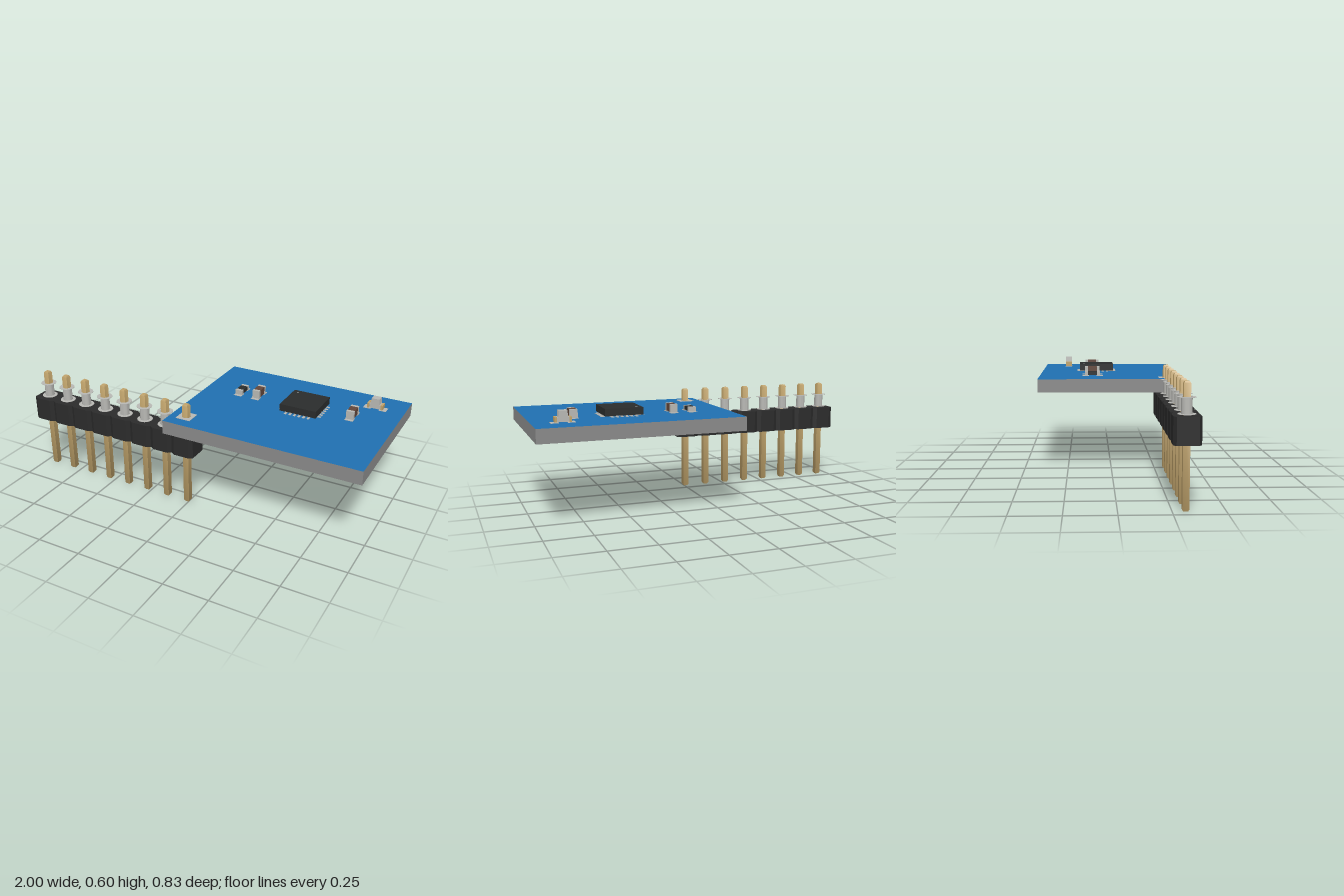
import * as THREE from 'three';
import { toCreasedNormals } from 'three/addons/utils/BufferGeometryUtils.js';

const mat = (name, color) => {
  const m = new THREE.MeshStandardMaterial({ color });
  m.name = name;
  return m;
};

export function createModel() {
  const root = new THREE.Group();
  const blue = mat('solder mask blue', 0x2070b0);
  const grey = mat('board edge grey', 0x8a8a8a);
  const black = mat('header plastic black', 0x2b2b2b);
  const chipBlack = mat('chip black', 0x2a2c2c);
  const gold = mat('pin gold', 0xc0a36b);
  const silver = mat('tin silver', 0xb8b8b4);
  const brown = mat('ceramic brown', 0x62463a);

  const add = (name, geo, material, x = 0, y = 0, z = 0, parent = root) => {
    const m = new THREE.Mesh(geo, material);
    m.name = name;
    m.position.set(x, y, z);
    parent.add(m);
    return m;
  };
  const box = (name, material, w, h, d, x, y, z, parent) =>
    add(name, new THREE.BoxGeometry(w, h, d), material, x, y + h / 2, z, parent);
  const group = (name, x, y, z) => {
    const g = new THREE.Group();
    g.name = name;
    g.position.set(x, y, z);
    root.add(g);
    return g;
  };
  const v2 = (pts) => pts.map(([a, b]) => new THREE.Vector2(a, b));
  const crisp = (geo) => toCreasedNormals(geo, 0.6);
  // Flat outline in plan (x, -z), raised upwards from y = 0
  const slab = (pts, h, hole) => {
    const s = new THREE.Shape(v2(pts));
    if (hole) {
      const p = new THREE.Path();
      p.absarc(hole[0], hole[1], hole[2], 0, Math.PI * 2, true);
      s.holes.push(p);
    }
    return new THREE.ExtrudeGeometry(s, { depth: h, bevelEnabled: false, curveSegments: 16 })
      .rotateX(-Math.PI / 2);
  };

  const bottom = 0.452, top = 0.527;
  const pitch = 0.1322, pinZ = 0.312, firstX = -0.935;
  const lastX = firstX + 7 * pitch;

  // Circuit board: blue faces, grey edges, one drilled hole
  add('circuitBoard', slab([[-0.096, -0.415], [1, -0.415], [1, 0.415], [-0.096, 0.415]],
    top - bottom, [lastX, -pinZ, 0.026]), [blue, grey], 0, bottom, 0);

  // Pin header
  const hx = pitch / 2, hz = 0.0655, cx = 0.022, cz = 0.014;
  const housing = slab([[-hx + cx, -hz], [hx - cx, -hz], [hx, -hz + cz], [hx, hz - cz],
    [hx - cx, hz], [-hx + cx, hz], [-hx, hz - cz], [-hx, -hz + cz]], 0.131);
  const q = Math.SQRT2;
  const pinGeo = crisp(new THREE.LatheGeometry(v2([[0, 0], [0.011 * q, 0], [0.0165 * q, 0.009],
    [0.0165 * q, 0.591], [0.011 * q, 0.6], [0, 0.6]]), 4).rotateY(Math.PI / 4));
  // Plated hole with a thin ring at each end
  const barrelGeo = crisp(new THREE.LatheGeometry(v2([[0.0238, 0.45], [0.043, 0.45], [0.043, 0.452],
    [0.026, 0.452], [0.026, 0.527], [0.043, 0.527], [0.043, 0.529], [0.0238, 0.529],
    [0.0238, 0.45]]), 24));
  const tubeGeo = crisp(new THREE.LatheGeometry(v2([[0.0238, 0.45], [0.026, 0.45], [0.026, 0.529],
    [0.0238, 0.529], [0.0238, 0.45]]), 24));
  for (let i = 0; i < 8; i++) {
    const g = group('headerPosition' + (i + 1), firstX + i * pitch, 0, pinZ);
    add('housing', housing, black, 0, 0.315, 0, g);
    add('pin', pinGeo, gold, 0, 0, 0, g);
    add('platedHole', i < 7 ? barrelGeo : tubeGeo, silver, 0, 0, 0, g);
  }
  const padGeo = slab([[-0.042, -0.042], [0.042, -0.042], [0.042, 0.042], [-0.042, 0.042]],
    0.002, [0, 0, 0.025]);
  add('squarePadTop', padGeo, silver, lastX, top, pinZ);
  add('squarePadBottom', padGeo, silver, lastX, 0.45, pinZ);

  // Chip with six contacts and pads on each side
  const chip = group('chip', 0.503, top, -0.08);
  box('chipBody', chipBlack, 0.206, 0.039, 0.206, 0, 0.006, 0, chip);
  box('pinOneMark', silver, 0.013, 0.001, 0.004, -0.073, 0.045, -0.078, chip);
  for (let side = 0; side < 4; side++) {
    const row = new THREE.Group();
    row.name = 'contactRow';
    row.rotation.y = side * Math.PI / 2;
    chip.add(row);
    for (let i = 0; i < 6; i++) {
      const x = (i - 2.5) * 0.0262;
      box('solderPad', silver, 0.013, 0.002, 0.045, x, 0, 0.097, row);
      box('contact', silver, 0.012, 0.005, 0.022, x, 0.002, 0.0925, row);
    }
  }

  // Two-terminal parts, laid out along z
  const passive = (name, x, height, material) => {
    const g = group(name, x, top, -0.106);
    box('body', material, 0.04, height, 0.052, 0, 0.005, 0, g);
    for (const s of [-1, 1]) {
      box('solderPad', silver, 0.046, 0.002, 0.038, 0, 0, s * 0.041, g);
      box('terminal', silver, 0.042, height + 0.004, 0.017, 0, 0.002, s * 0.0345, g);
    }
  };
  passive('resistor', 0.112, 0.022, chipBlack);
  passive('capacitorLeft', 0.217, 0.041, brown);
  passive('capacitorRight', 0.763, 0.041, brown);

  // Indicator lamp, laid out along x, with a tapered lens
  const lamp = group('indicatorLamp', 0.842, top, -0.262);
  box('lampBase', silver, 0.062, 0.025, 0.038, 0, 0.005, 0, lamp);
  const lens = new THREE.BoxGeometry(0.05, 0.033, 0.04);
  const p = lens.attributes.position;
  for (let i = 0; i < p.count; i++) if (p.getY(i) > 0) p.setX(i, p.getX(i) * 0.86);
  lens.computeVertexNormals();
  add('lampLens', lens, silver, 0, 0.0465, 0, lamp);
  for (const s of [-1, 1]) {
    box('solderPad', silver, 0.04, 0.002, 0.046, s * 0.043, 0, 0, lamp);
    box('lampTerminal', gold, 0.012, 0.027, 0.04, s * 0.037, 0.004, 0, lamp);
  }

  return root;
}
